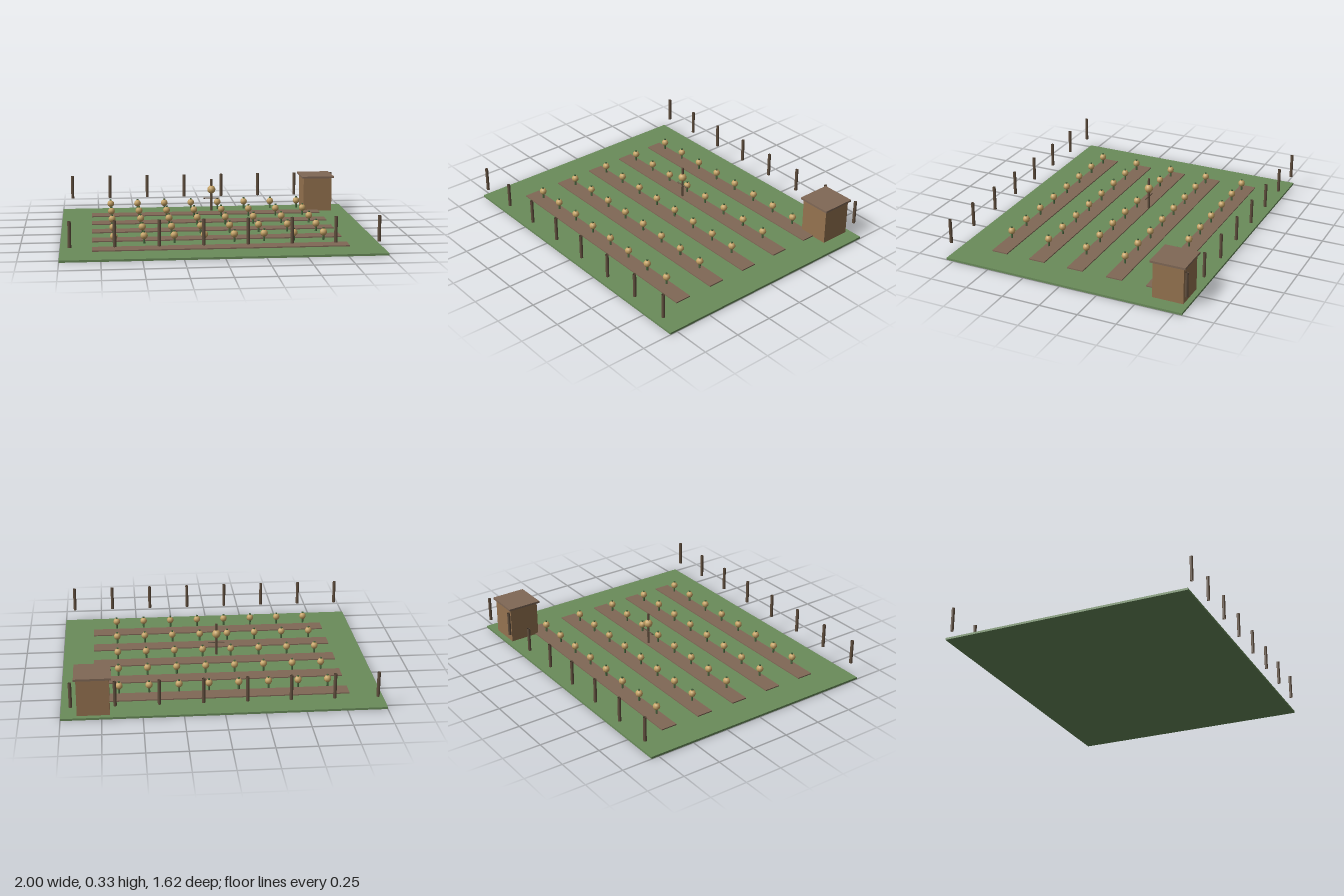
import * as THREE from 'three';

const material = (name, color, extra = {}) => {
  const m = new THREE.MeshStandardMaterial({ color, ...extra });
  m.name = name;
  return m;
};

export function createModel() {
  const model = new THREE.Group();
  model.name = 'farmField';

  const grass = material('grass green', 0x6a8c5a);
  const soil = material('soil brown', 0x806856);
  const plank = material('plank brown', 0x957350);
  const wood = material('dark wood', 0x62503f, { side: THREE.DoubleSide });
  const stemGreen = material('stem green', 0x4c6a42);
  const straw = material('straw', 0xc4a163);

  const add = (name, geometry, mat, x, y, z, parent = model) => {
    const mesh = new THREE.Mesh(geometry, mat);
    mesh.name = name;
    mesh.position.set(x, y, z);
    parent.add(mesh);
    return mesh;
  };
  const group = (name) => {
    const g = new THREE.Group();
    g.name = name;
    model.add(g);
    return g;
  };

  // Ground slab
  add('ground', new THREE.BoxGeometry(2, 0.0133, 1.6), grass, 0, 0.0067, 0);

  // Five soil beds, each with eight plants
  const bedGeo = new THREE.BoxGeometry(1.6, 0.008, 0.107);
  const stemGeo = new THREE.CylinderGeometry(0.0067, 0.0067, 0.08, 8);
  const headGeo = new THREE.SphereGeometry(0.0233, 8, 8);
  for (let row = -2; row <= 2; row++) {
    const z = row * 0.2667;
    const crop = group('cropRow');
    add('soilBed', bedGeo, soil, 0, 0.0165, z, crop);
    for (let i = 0; i < 8; i++) {
      const x = -0.6667 + i * 0.1867;
      add('plantStem', stemGeo, stemGreen, x, 0.087, z, crop);
      add('plantHead', headGeo, straw, x, 0.097, z, crop);
    }
  }

  // Fence posts along the front and back edges
  const fence = group('fence');
  const postGeo = new THREE.CylinderGeometry(0.0105, 0.0105, 0.16, 8, 1, true);
  for (const z of [-0.8, 0.8]) {
    for (let i = 0; i < 8; i++) {
      add('fencePost', postGeo, wood, -0.9333 + i * 0.2667, 0.17, z, fence);
    }
  }

  // Scarecrow: pole, crossbar and straw head
  const scarecrow = group('scarecrow');
  scarecrow.position.z = -0.1333;
  add('pole', new THREE.CylinderGeometry(0.008, 0.008, 0.213, 8), wood, 0, 0.222, 0, scarecrow);
  const bar = add('crossbar', new THREE.CylinderGeometry(0.0037, 0.0037, 0.107, 8), wood, 0, 0.199, 0, scarecrow);
  bar.rotation.z = Math.PI / 2;
  add('head', new THREE.SphereGeometry(0.0275, 10, 8), straw, 0, 0.258, 0, scarecrow);

  // Shed in the back corner
  const shed = group('shed');
  shed.position.set(0.8, 0, -0.6667);
  add('shedWalls', new THREE.BoxGeometry(0.2, 0.237, 0.2), plank, 0, 0.1305, 0, shed);
  add('shedRoof', new THREE.BoxGeometry(0.227, 0.0133, 0.227), soil, 0, 0.2545, 0, shed);

  return model;
}
